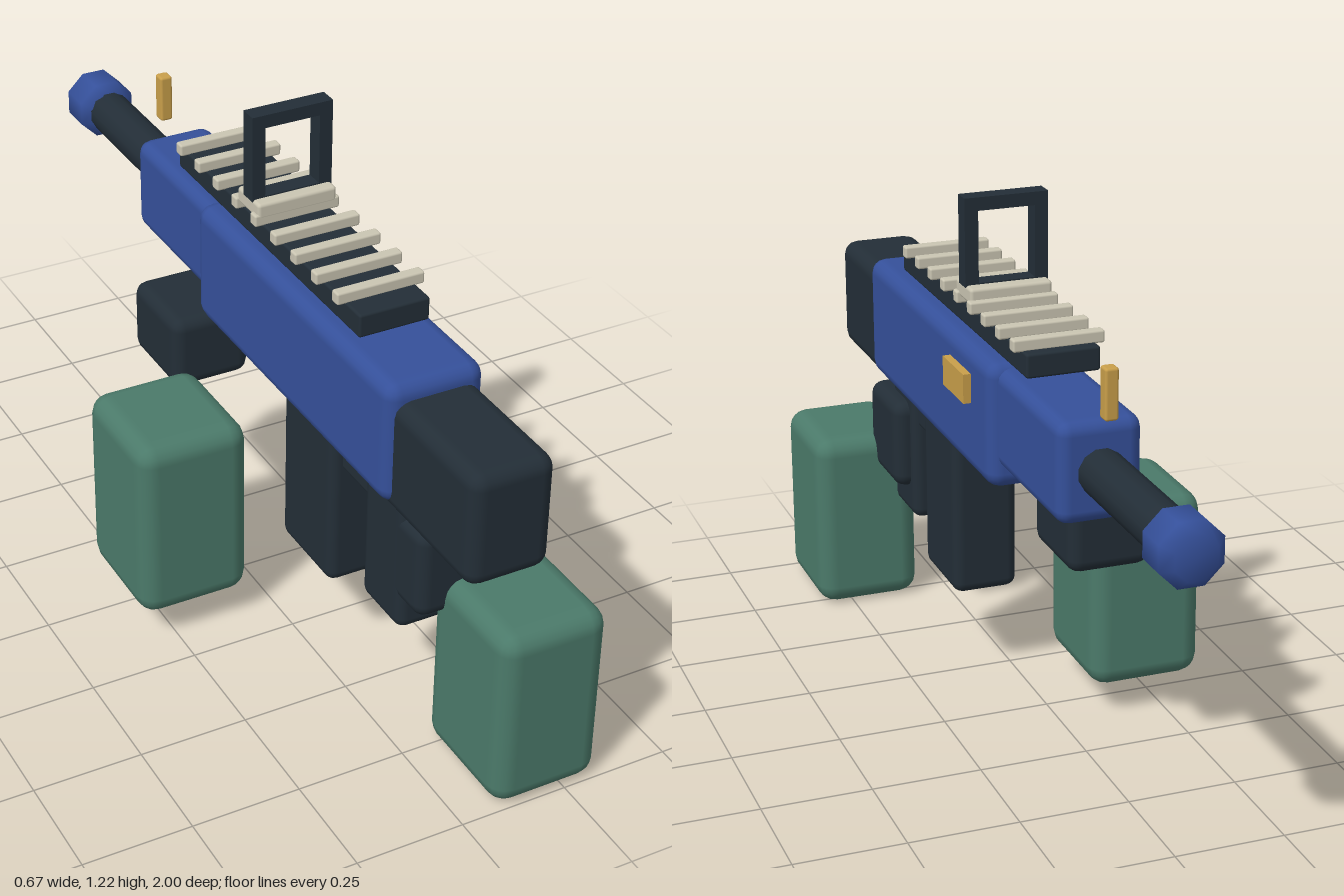
import * as THREE from 'three';
import { RoundedBoxGeometry } from 'three/addons/geometries/RoundedBoxGeometry.js';

const mat = (name, color) => {
  const m = new THREE.MeshStandardMaterial({ color });
  m.name = name;
  return m;
};

export function createModel() {
  const blue = mat('blue', 0x35509a);
  const dark = mat('charcoal', 0x232e37);
  const green = mat('green', 0x4b7a6a);
  const cream = mat('cream', 0xcac5b2);
  const gold = mat('gold', 0xc99f4a);
  const CX = 0.079; // centre line of the blaster
  const model = new THREE.Group();
  model.name = 'blasterWithHands';

  const add = (name, geometry, material) => {
    const mesh = new THREE.Mesh(geometry, material);
    mesh.name = name;
    model.add(mesh);
    return mesh;
  };

  // Box given by its extents on each axis, with optional rounded edges
  const box = (name, material, [x0, x1], [y0, y1], [z0, z1], r = 0) => {
    const size = [x1 - x0, y1 - y0, z1 - z0];
    const g = r ? new RoundedBoxGeometry(...size, 2, r) : new THREE.BoxGeometry(...size);
    add(name, g, material).position.set((x0 + x1) / 2, (y0 + y1) / 2, (z0 + z1) / 2);
  };
  const mid = (w) => [CX - w / 2, CX + w / 2];

  // Bevelled cylinder lying along z
  const rod = (name, material, radius, z0, z1, bevel, sides) => {
    const h = (z1 - z0) / 2;
    const R = radius / Math.cos(Math.PI / sides);
    const profile = [[0, -h], [R - bevel, -h], [R, -h + bevel], [R, h - bevel], [R - bevel, h], [0, h]]
      .map(([x, y]) => new THREE.Vector2(x, y));
    const g = new THREE.LatheGeometry(profile, sides);
    g.rotateY(Math.PI / sides);
    g.rotateX(Math.PI / 2);
    add(name, g, material).position.set(CX, 0.783, (z0 + z1) / 2);
  };

  // Main body
  box('receiver', blue, mid(0.23), [0.62, 0.907], [-0.165, 0.7], 0.035);
  box('handguard', blue, mid(0.186), [0.67, 0.894], [-0.523, -0.12], 0.03);
  box('stock', dark, mid(0.193), [0.602, 0.869], [0.64, 0.997], 0.035);
  rod('barrel', dark, 0.05, -0.9, -0.51, 0.012, 12);
  rod('muzzle', blue, 0.068, -1, -0.873, 0.025, 8);

  // Underside
  box('magazine', dark, mid(0.155), [0.222, 0.66], [0.187, 0.413], 0.025);
  box('grip', dark, mid(0.13), [0.28, 0.66], [0.527, 0.69], 0.025);
  box('triggerGuard', dark, mid(0.1), [0.518, 0.65], [0.39, 0.55], 0.015);

  // Arms and hands
  box('rearHand', dark, [0.015, 0.182], [0.355, 0.574], [0.552, 0.765], 0.032);
  box('rearArm', green, [0.079, 0.335], [0, 0.439], [0.706, 1], 0.045);
  box('foreHand', dark, [-0.121, 0.07], [0.467, 0.645], [-0.327, -0.1], 0.03);
  box('foreArm', green, [-0.337, -0.07], [0.074, 0.523], [-0.118, 0.176], 0.045);

  // Top rail and its cross slats
  box('rail', dark, mid(0.165), [0.921, 0.975], [-0.31, 0.523], 0.006);
  for (let i = -3; i <= 5; i++) {
    const z = i * 0.0905;
    box('railSlat', cream, mid(0.205), [0.972, 1.0], [z - 0.013, z + 0.013], 0.005);
  }

  // Sight: plate and square hoop
  box('sightBase', cream, mid(0.19), [0.988, 1.025], [0.004, 0.104], 0.008);
  const hoop = new THREE.Shape([[-0.096, 0], [0.096, 0], [0.096, 0.2], [-0.096, 0.2]]
    .map(([x, y]) => new THREE.Vector2(x, y)));
  hoop.holes.push(new THREE.Path([[-0.065, 0.008], [-0.065, 0.17], [0.065, 0.17], [0.065, 0.008]]
    .map(([x, y]) => new THREE.Vector2(x, y))));
  add('sightHoop', new THREE.ExtrudeGeometry(hoop, { depth: 0.042, bevelEnabled: false }), dark)
    .position.set(CX, 1.02, 0.035);

  // Gold fittings
  box('frontSight', gold, mid(0.03), [0.91, 1.022], [-0.577, -0.545], 0.006);
  box('sidePlate', gold, [0.185, 0.212], [0.786, 0.853], [-0.05, 0.088]);

  return model;
}
